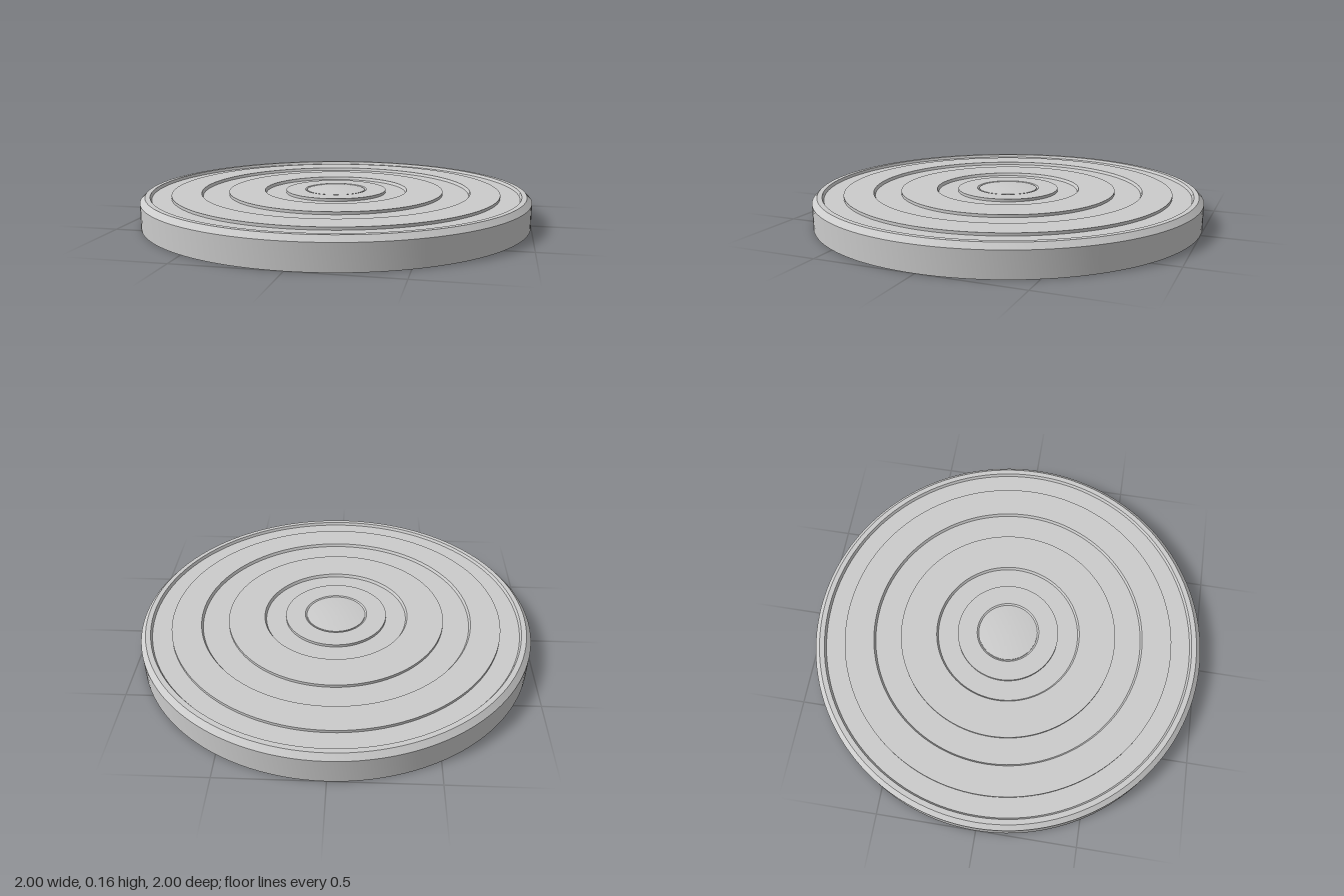
import * as THREE from 'three';
import { toCreasedNormals } from 'three/addons/utils/BufferGeometryUtils.js';

const TOP = 0.15, FLOOR = 0.136;

export function createModel() {
  const group = new THREE.Group();
  group.name = 'ringedDisc';
  const material = new THREE.MeshStandardMaterial({ color: 0xcccccc });

  function turned(name, profile) {
    const points = profile.map(([r, y]) => new THREE.Vector2(r, y));
    const geometry = toCreasedNormals(new THREE.LatheGeometry(points, 128), 0.3);
    const mesh = new THREE.Mesh(geometry, material);
    mesh.name = name;
    group.add(mesh);
  }

  // Disc: flat base, upright wall and chamfered rim
  const profile = [[0, 0], [1, 0], [1, 0.125], [0.975, TOP]];

  // Three concentric grooves: sloped outer wall, upright inner wall
  for (const [outer, inner] of [[0.95, 0.845], [0.695, 0.555], [0.37, 0.26]]) {
    profile.push([outer, TOP], [outer - 0.008, FLOOR], [inner, FLOOR], [inner, TOP]);
  }

  // Shallow seat for the centre button
  profile.push([0.16, TOP], [0.152, 0.144], [0, 0.144]);
  turned('disc', profile);

  // Slightly domed centre button
  const dome = [[0.15, 0.144]];
  for (let i = 0; i <= 8; i++) {
    const r = 0.15 * (1 - i / 8);
    dome.push([r, 0.158 - 0.0095 * (r / 0.15) ** 2]);
  }
  turned('centreButton', dome);

  return group;
}
